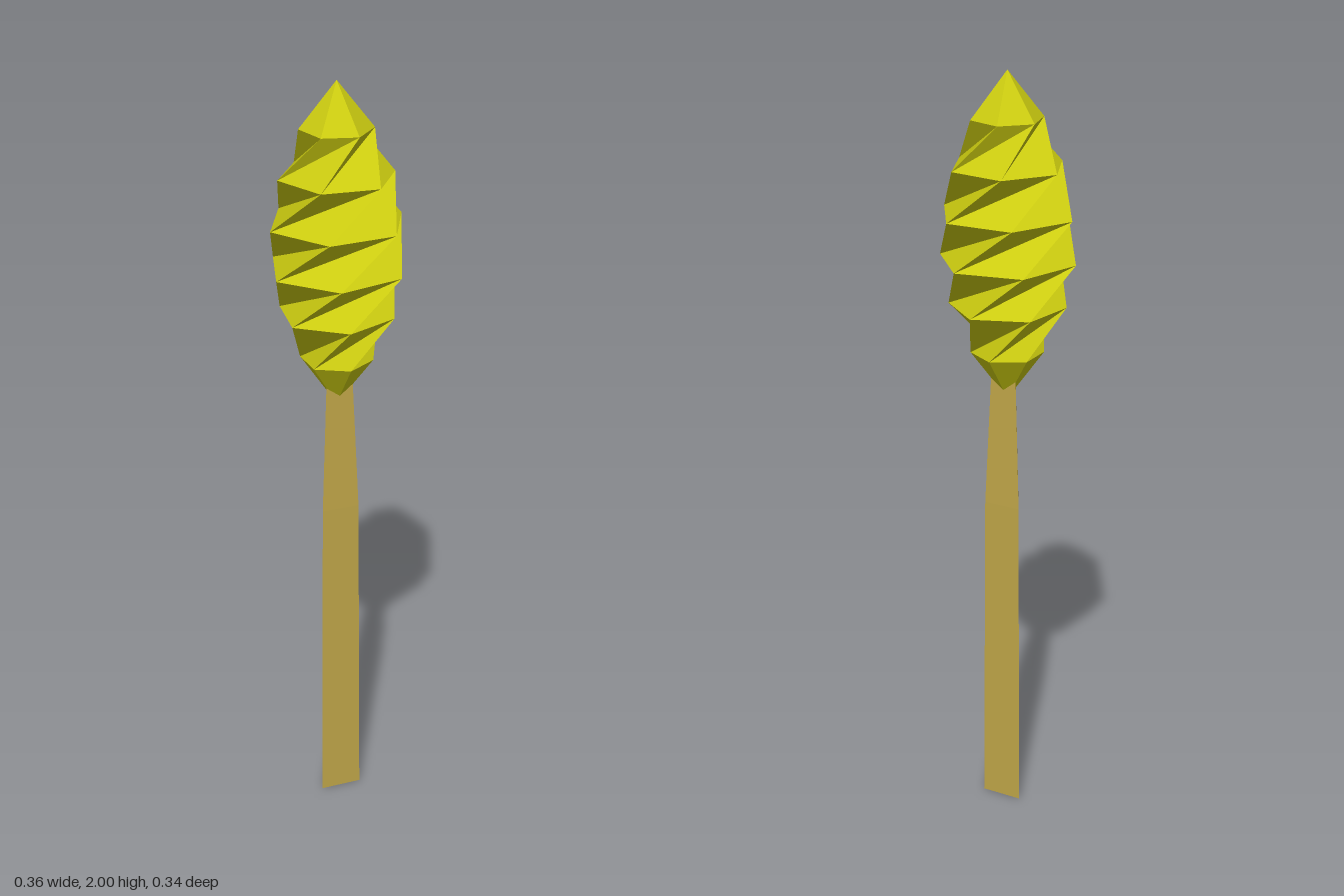
import * as THREE from 'three';

const rad = THREE.MathUtils.degToRad;

// Closed skin over twisted rings of six points, from the top tip to the bottom tip
function twistedHead(rings, sides, startAngle, twist) {
  const point = (i, j) => {
    const [r, y] = rings[i];
    const a = rad(startAngle + twist * i + (360 / sides) * j);
    return [r * Math.cos(a), y, r * Math.sin(a)];
  };
  const pos = [];
  for (let i = 0; i < rings.length - 1; i++) {
    for (let j = 0; j < sides; j++) {
      const a = point(i, j), b = point(i, j + 1);
      const c = point(i + 1, j + 1), d = point(i + 1, j);
      if (rings[i][0] > 0) pos.push(...a, ...b, ...c);
      if (rings[i + 1][0] > 0) pos.push(...a, ...c, ...d);
    }
  }
  const geo = new THREE.BufferGeometry();
  geo.setAttribute('position', new THREE.Float32BufferAttribute(pos, 3));
  geo.computeVertexNormals();
  return geo;
}

export function createModel() {
  const group = new THREE.Group();
  const add = (name, geo, color) => {
    const mesh = new THREE.Mesh(geo, new THREE.MeshStandardMaterial({ color, flatShading: true }));
    mesh.name = name;
    group.add(mesh);
  };

  // Three-sided stem, flat side to the front, tapering into the head
  const profile = [[0, 0], [0.064, 0], [0.058, 0.86], [0.043, 1.18], [0.041, 1.22], [0, 1.22]]
    .map(([r, y]) => new THREE.Vector2(r, y));
  add('stem', new THREE.LatheGeometry(profile, 3, Math.PI), 0xbfa548);

  // Spiralling flower head
  const rings = [
    [0, 2], [0.094, 1.88], [0.15, 1.76], [0.179, 1.64],
    [0.179, 1.52], [0.151, 1.4], [0.094, 1.275], [0, 1.15],
  ];
  const twist = 50.7;
  add('flowerHead', twistedHead(rings, 6, 15.5 - twist, twist), 0xcccc10);

  return group;
}
